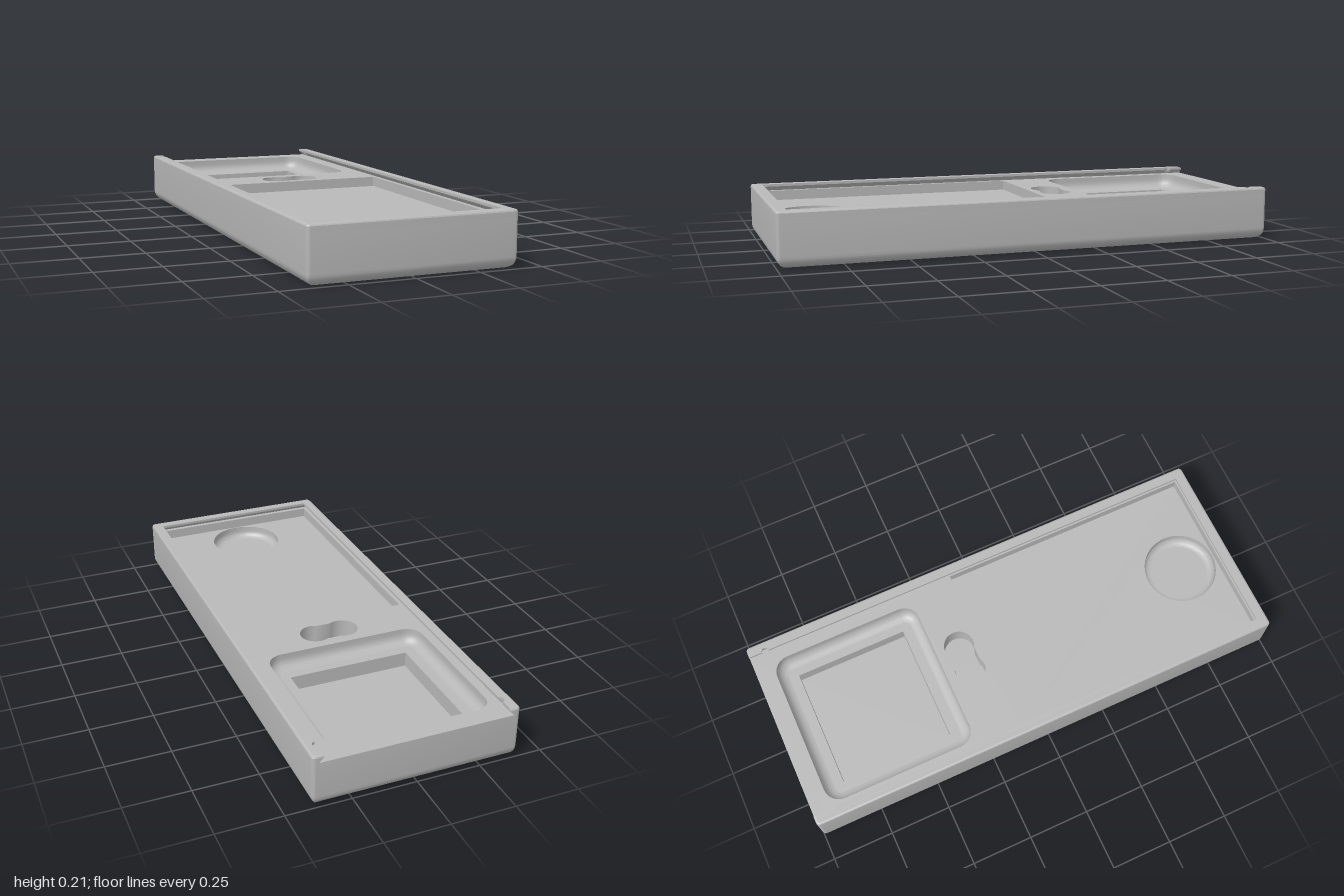
import * as THREE from 'three';
import { toCreasedNormals } from 'three/addons/utils/BufferGeometryUtils.js';

const TOP = 0.213, DECK = 0.185, RECESS = 0.145, SHELF = 0.125;

// Outlines are counter-clockwise loops of (x, -z)
function arc(cx, cs, r, from, to, n) {
  const pts = [];
  for (let i = 0; i <= n; i++) {
    const a = THREE.MathUtils.degToRad(from + (to - from) * i / n);
    pts.push(new THREE.Vector2(cx + r * Math.cos(a), cs + r * Math.sin(a)));
  }
  return pts;
}

function roundedRect(x0, x1, s0, s1, radius, inset = 0) {
  const r = Math.max(radius - inset, 0.002), d = inset + r;
  return [
    ...arc(x0 + d, s1 - d, r, 90, 180, 6), ...arc(x0 + d, s0 + d, r, 180, 270, 6),
    ...arc(x1 - d, s0 + d, r, 270, 360, 6), ...arc(x1 - d, s1 - d, r, 0, 90, 6),
  ];
}

const rect = (x0, x1, s0, s1) =>
  [[x0, s0], [x1, s0], [x1, s1], [x0, s1]].map(([x, s]) => new THREE.Vector2(x, s));

const circle = (cx, cs, r) => arc(cx, cs, r, 0, 352.5, 47);

// Skin through levels [y, loop]: rising levels face out, sinking levels face in
function loft(levels) {
  const n = levels[0][1].length, pos = [], idx = [];
  levels.forEach(([y, loop]) => loop.forEach(p => pos.push(p.x, y, -p.y)));
  for (let i = 0; i < levels.length - 1; i++) {
    for (let j = 0; j < n; j++) {
      const a = i * n + j, b = i * n + (j + 1) % n;
      idx.push(a, b, b + n, a, b + n, a + n);
    }
  }
  const g = new THREE.BufferGeometry();
  g.setAttribute('position', new THREE.Float32BufferAttribute(pos, 3));
  g.setIndex(idx);
  return toCreasedNormals(g, 0.45);
}

// Flat horizontal face with holes
function plate(loop, y, holes = [], down = false) {
  const shape = new THREE.Shape(loop);
  holes.forEach(h => shape.holes.push(new THREE.Path(h)));
  return new THREE.ShapeGeometry(shape).rotateX(down ? Math.PI / 2 : -Math.PI / 2).translate(0, y, 0);
}

// Wall levels ending in a quarter-round fillet down to the floor
function filletedWall(top, floor, r, loopAt) {
  const levels = [[top, loopAt(0)]];
  for (let i = 0; i <= 6; i++) {
    const a = i / 6 * Math.PI / 2;
    levels.push([floor + r * (1 - Math.sin(a)), loopAt(r * (1 - Math.cos(a)))]);
  }
  // order from the wall down to the floor
  return levels;
}

// U-shaped rim outline, open at the back, with a small notch in each lip
function rimLoop(inset, inner) {
  const nx = 0.357, ns = 0.93, nr = 0.014;
  const front = -(inner + 0.598);
  const right = arc(nx, ns, nr, 90, -90, 8).map(p => new THREE.Vector2(Math.max(inner, p.x), p.y));
  const left = right.map(p => new THREE.Vector2(-p.x, p.y)).reverse();
  return [
    ...roundedRect(-0.4, 0.4, -1, 1, 0.015, inset),
    new THREE.Vector2(inner, 1 - inset), ...right, new THREE.Vector2(inner, front),
    new THREE.Vector2(-inner, front), ...left, new THREE.Vector2(-inner, 1 - inset),
  ];
}

export function createModel() {
  const model = new THREE.Group();
  const grey = new THREE.MeshStandardMaterial({ color: 0xb8b8b8 });
  grey.name = 'grey';
  const add = (name, ...geometries) => {
    const part = new THREE.Group();
    part.name = name;
    geometries.forEach(g => part.add(new THREE.Mesh(g, grey)));
    model.add(part);
  };

  // Outer shell with rounded bottom edges
  const bodyLoop = inset => roundedRect(-0.4, 0.4, -1, 1, 0.015, inset);
  const shell = filletedWall(DECK, 0, 0.045, bodyLoop).reverse();
  add('outerShell', loft(shell), plate(bodyLoop(0.045), 0, [], true));

  // Rim with an undercut groove for a sliding lid
  const rimTop = rimLoop(0.008, 0.357);
  add('slidingLidRim', loft([
    [DECK, rimLoop(0, 0.376)], [0.203, rimLoop(0, 0.357)], [0.2055, rimLoop(0, 0.357)],
    [0.2105, rimLoop(0.0025, 0.357)], [TOP, rimTop],
  ]), plate(rimTop, TOP));

  // Pocket outlines
  const recess = rect(-0.357, 0.357, -0.955, 0.11);
  const trayAt = inset => roundedRect(-0.335, 0.31, 0.3, 0.925, 0.065, inset);
  const well = rect(-0.255, 0.235, 0.38, 0.845);
  const dishAt = inset => circle(0, -0.8, 0.151 - inset);
  const slot = [...arc(0.058, 0.2, 0.062, -120, 120, 24), ...arc(-0.058, 0.2, 0.062, 60, 300, 24)];

  add('deck', plate(bodyLoop(0), DECK, [recess, trayAt(0), slot]));

  // Long front recess with a round dish
  add('longRecess', loft([[DECK, recess], [RECESS, recess]]), plate(recess, RECESS, [dishAt(0)]));
  add('roundDish', loft(filletedWall(RECESS, 0.095, 0.03, dishAt)), plate(dishAt(0.03), 0.095));

  // Rounded rear tray with a square well
  add('rearTray', loft(filletedWall(DECK, SHELF, 0.04, trayAt)), plate(trayAt(0.04), SHELF, [well]));
  add('squareWell', loft([[SHELF, well], [0.065, well]]), plate(well, 0.065));

  // Double-round slot between the pockets
  add('doubleRoundSlot', loft([[DECK, slot], [0.105, slot]]), plate(slot, 0.105));

  return model;
}
